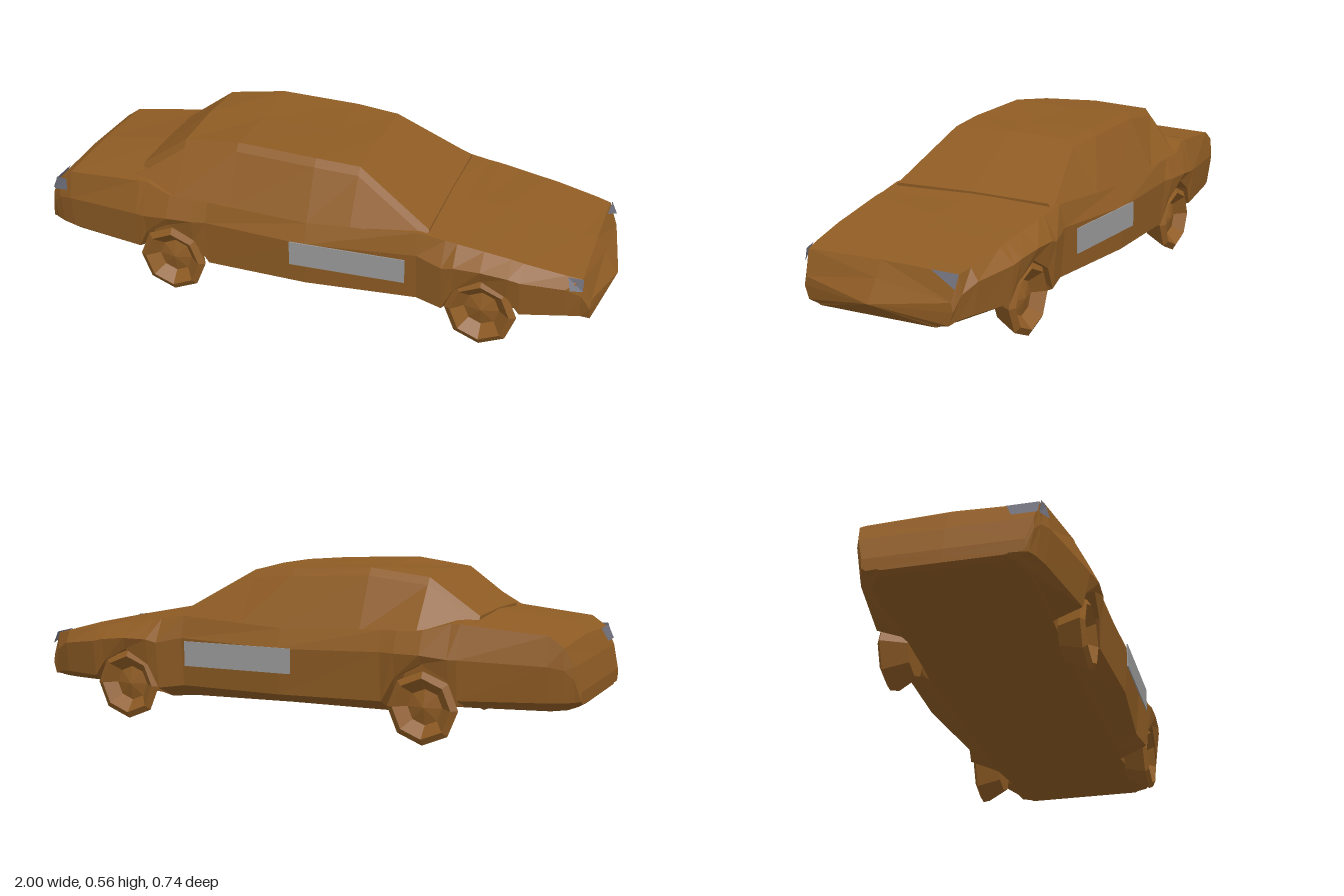
import * as THREE from 'three';

const paint = new THREE.MeshStandardMaterial({ color: 0x8f5c24 });
paint.name = 'brown paint';
const panelGrey = new THREE.MeshStandardMaterial({ color: 0x999999 });
panelGrey.name = 'panel grey';
const lampGrey = new THREE.MeshStandardMaterial({ color: 0x70707c, side: THREE.DoubleSide });
lampGrey.name = 'lamp grey';

function facetMesh(name, positions, material) {
  const g = new THREE.BufferGeometry();
  g.setAttribute('position', new THREE.Float32BufferAttribute(positions, 3));
  g.computeVertexNormals();
  const mesh = new THREE.Mesh(g, material);
  mesh.name = name;
  return mesh;
}

// Skins mirrored half sections along x; each section is { x, half: [[z, y], ...] } from bottom to top centre.
function loft(name, sections, noseTip) {
  const rings = sections.map(({ x, half }) => {
    const mirrored = half.slice(1, -1).reverse().map(([z, y]) => [-z, y]);
    return [...half, ...mirrored].map(([z, y]) => [x, y, z]);
  });
  const out = [];
  const tri = (a, b, c) => out.push(...a, ...b, ...c);
  const n = rings[0].length;
  for (let i = 0; i < rings.length - 1; i++) {
    for (let j = 0; j < n; j++) {
      const k = (j + 1) % n;
      const a = rings[i][j], b = rings[i + 1][j], c = rings[i + 1][k], d = rings[i][k];
      tri(a, b, c);
      tri(a, c, d);
    }
  }
  const centre = (ring) => [ring[0][0], (ring[0][1] + ring[n / 2][1]) / 2, 0];
  const first = rings[0], last = rings[rings.length - 1];
  const tip = noseTip || centre(last);
  for (let j = 0; j < n; j++) {
    const k = (j + 1) % n;
    tri(centre(first), first[j], first[k]);
    tri(tip, last[k], last[j]);
  }
  return facetMesh(name, out, paint);
}

// Lower body: x, floor y, half width, widest y, belt z, belt y, top y, wheel arch y
const bodyRows = [
  [-1, 0.155, 0.25, 0.17, 0.25, 0.2, 0.2],
  [-0.98, 0.145, 0.27, 0.24, 0.27, 0.28, 0.28],
  [-0.95, 0.135, 0.285, 0.27, 0.28, 0.34, 0.35],
  [-0.9, 0.13, 0.3, 0.28, 0.28, 0.375, 0.385],
  [-0.62, 0.12, 0.35, 0.29, 0.31, 0.4, 0.42],
  [-0.59, 0.12, 0.355, 0.29, 0.31, 0.4, 0.42, 0.22],
  [-0.5, 0.11, 0.365, 0.3, 0.33, 0.375, 0.42, 0.27],
  [-0.41, 0.1, 0.36, 0.3, 0.33, 0.37, 0.4, 0.22],
  [-0.36, 0.09, 0.35, 0.3, 0.33, 0.37, 0.4],
  [0, 0.09, 0.365, 0.29, 0.335, 0.355, 0.38],
  [0.38, 0.085, 0.335, 0.3, 0.315, 0.375, 0.385],
  [0.47, 0.075, 0.355, 0.28, 0.31, 0.36, 0.365],
  [0.51, 0.085, 0.36, 0.29, 0.31, 0.355, 0.36, 0.2],
  [0.6, 0.095, 0.36, 0.29, 0.305, 0.34, 0.347, 0.25],
  [0.69, 0.105, 0.355, 0.28, 0.3, 0.325, 0.33, 0.2],
  [0.73, 0.11, 0.35, 0.27, 0.3, 0.317, 0.322],
  [0.87, 0.115, 0.31, 0.25, 0.285, 0.29, 0.293],
  [0.92, 0.115, 0.285, 0.22, 0.275, 0.28, 0.285],
  [0.95, 0.115, 0.272, 0.17, 0.265, 0.2, 0.235],
];

// Cabin: x, belt z, belt y, roof edge z, roof edge y, roof centre y
const cabinRows = [
  [-0.65, 0.28, 0.4, 0.2, 0.415, 0.42],
  [-0.48, 0.33, 0.375, 0.21, 0.535, 0.545],
  [-0.28, 0.33, 0.36, 0.225, 0.56, 0.552],
  [0, 0.335, 0.355, 0.23, 0.547, 0.545],
  [0.15, 0.33, 0.365, 0.22, 0.535, 0.54],
  [0.41, 0.31, 0.37, 0.29, 0.38, 0.385],
];

function bodySection([x, floorY, w, wideY, beltZ, beltY, topY, arch]) {
  const floorZ = Math.min(0.24, w - 0.06);
  const half = [
    [0, floorY],
    [floorZ, floorY],
    [floorZ + 0.01, arch || floorY + 0.005],
    [w - 0.015, arch || floorY + (wideY - floorY) * 0.22],
    [w, wideY],
    [beltZ, beltY],
    [0, topY],
  ];
  return { x, half };
}

function cabinSection([x, beltZ, beltY, roofZ, roofY, midY]) {
  const half = [[0, beltY], [beltZ, beltY], [roofZ + 0.02, roofY - 0.025], [roofZ, roofY], [0, midY]];
  return { x, half };
}

// Faceted wheel with a dished face, narrower on its inner side
function wheel(name, x, side) {
  const profile = [[0, 0.245], [0.08, 0.245], [0.122, 0.325], [0.1, 0.338], [0.06, 0.3], [0, 0.315]];
  const g = new THREE.LatheGeometry(profile.map(([r, d]) => new THREE.Vector2(r, d)), 8)
    .rotateX(side * Math.PI / 2).toNonIndexed();
  const mesh = facetMesh(name, g.attributes.position.array, paint);
  mesh.position.set(x, 0.122, 0);
  return mesh;
}

// Thin convex plate from its corners
function plate(name, corners) {
  const out = [];
  for (let i = 1; i < corners.length - 1; i++) out.push(...corners[0], ...corners[i], ...corners[i + 1]);
  return facetMesh(name, out, lampGrey);
}

export function createModel() {
  const car = new THREE.Group();
  car.name = 'car';
  car.add(loft('lowerBody', bodyRows.map(bodySection), [1, 0.167, 0]));
  car.add(loft('cabin', cabinRows.map(cabinSection)));

  for (const side of [1, -1]) {
    const label = side > 0 ? 'Near' : 'Far';
    car.add(wheel('rearWheel' + label, -0.5, side), wheel('frontWheel' + label, 0.6, side));

    // Door panel
    const panel = new THREE.Mesh(new THREE.BoxGeometry(0.4, 0.085, 0.004), panelGrey);
    panel.name = 'doorPanel' + label;
    panel.position.set(0.15, 0.252, side * 0.368);
    panel.rotation.y = side * 0.012;
    car.add(panel);
  }

  // Lamps at the body corners
  car.add(plate('headlampNear', [
    [0.875, 0.288, 0.291], [0.885, 0.25, 0.311], [0.924, 0.24, 0.287], [0.924, 0.282, 0.28],
  ]));
  car.add(plate('headlampFar', [[0.926, 0.284, -0.18], [0.926, 0.283, -0.279], [0.946, 0.24, -0.276]]));
  car.add(plate('tailLampSide', [
    [-0.97, 0.3, 0.284], [-0.91, 0.31, 0.301], [-0.915, 0.35, 0.292], [-0.955, 0.35, 0.286],
  ]));
  car.add(plate('tailLampRear', [
    [-0.976, 0.3, 0.28], [-0.956, 0.345, 0.283], [-0.956, 0.345, 0.18], [-0.976, 0.3, 0.2],
  ]));
  return car;
}
